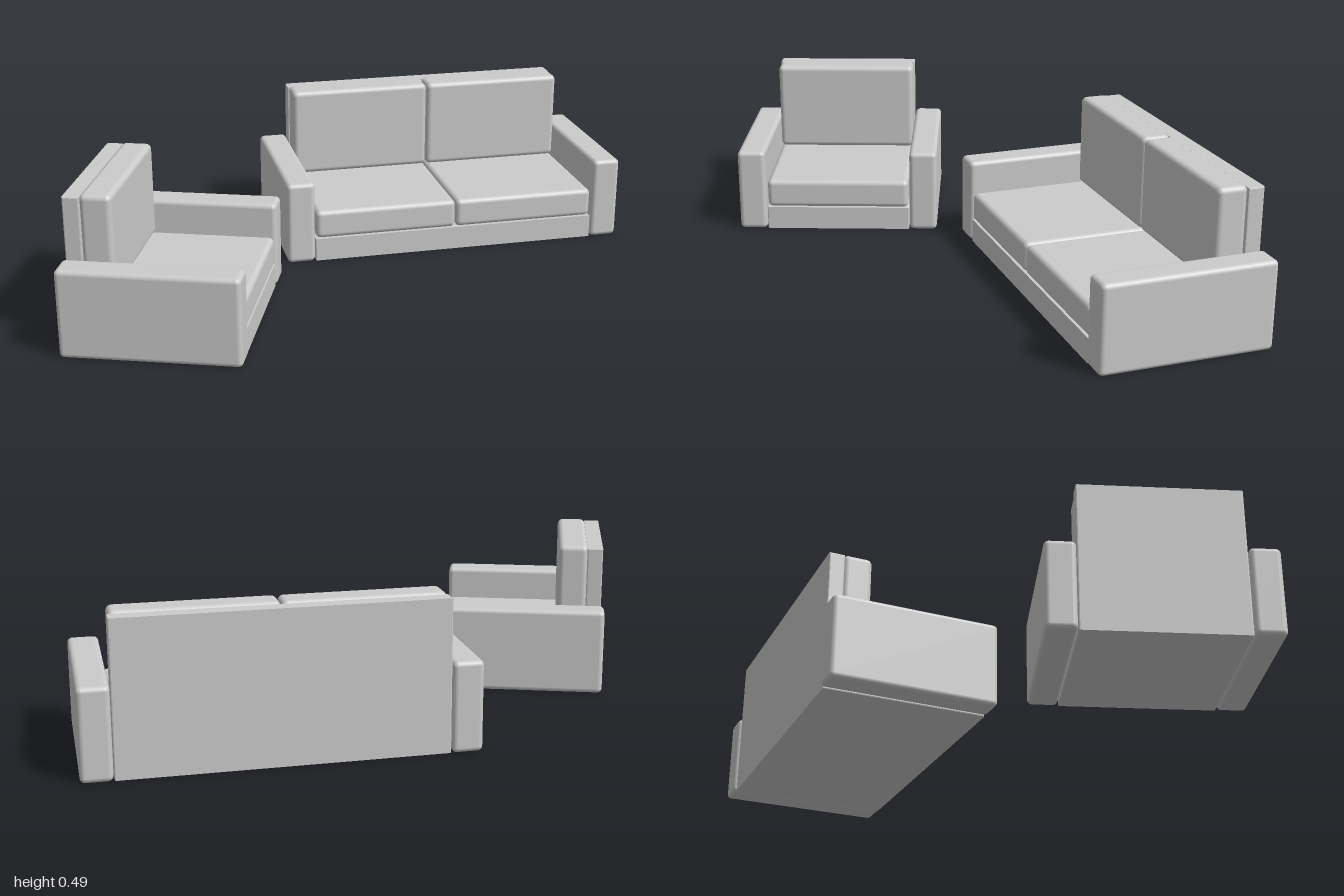
import * as THREE from 'three';
import { RoundedBoxGeometry } from 'three/addons/geometries/RoundedBoxGeometry.js';

const material = new THREE.MeshStandardMaterial({ color: 0xcccccc });
const DEPTH = 0.56, ARM = 0.096;

// Soft block given by its min and max corners
function block(name, x0, x1, y0, y1, z0, z1, radius) {
  const geometry = new RoundedBoxGeometry(x1 - x0, y1 - y0, z1 - z0, 4, radius);
  const mesh = new THREE.Mesh(geometry, material);
  mesh.position.set((x0 + x1) / 2, (y0 + y1) / 2, (z0 + z1) / 2);
  mesh.name = name;
  return mesh;
}

// L-shaped side profile (base and upright back in one), extruded across the width
function frame(width) {
  const b = 0.004;
  const back = -DEPTH / 2 + 0.01 + b, front = DEPTH / 2 - 0.006 - b, inner = -DEPTH / 2 + 0.062 - b;
  const shape = new THREE.Shape([
    [back, b], [front, b], [front, 0.08 - b], [inner, 0.08 - b], [inner, 0.481 - b], [back, 0.481 - b],
  ].map(([z, y]) => new THREE.Vector2(z, y)));
  const geometry = new THREE.ExtrudeGeometry(shape, {
    depth: width - 2 * b, bevelSize: b, bevelThickness: b, bevelSegments: 2,
  });
  geometry.translate(0, 0, -width / 2 + b);
  geometry.rotateY(-Math.PI / 2); // profile z -> model z, extrusion -> x
  const mesh = new THREE.Mesh(geometry, material);
  mesh.name = 'baseAndBack';
  return mesh;
}

// Seat with the given number of equal places, facing +z
function makeSeat(name, places) {
  const group = new THREE.Group();
  group.name = name;
  const place = 0.5, half = places * place / 2, z = DEPTH / 2;
  group.add(frame(2 * half + 0.004));

  for (let i = 0; i < places; i++) {
    const x0 = -half + i * place + 0.001, x1 = x0 + place - 0.002;
    group.add(block('seatCushion', x0, x1, 0.08, 0.179, -z + 0.06, z - 0.006, 0.018));
    group.add(block('backCushion', x0, x1, 0.178, 0.488, -z + 0.06, -z + 0.158, 0.018));
  }

  // Armrests
  for (const side of [-1, 1]) {
    const a = side * (half + 0.004), b = side * (half + 0.004 + ARM);
    group.add(block(side > 0 ? 'leftArm' : 'rightArm',
      Math.min(a, b), Math.max(a, b), 0, 0.286, -z, z, 0.016));
  }
  return group;
}

export function createModel() {
  const model = new THREE.Group();
  model.name = 'livingRoomSet';

  const sofa = makeSeat('sofa', 2);
  sofa.position.set(0.4, 0, -0.367);

  const armchair = makeSeat('armchair', 1);
  armchair.position.set(-0.62, 0, 0.226);
  armchair.rotation.y = THREE.MathUtils.degToRad(70);

  model.add(sofa, armchair);
  return model;
}
